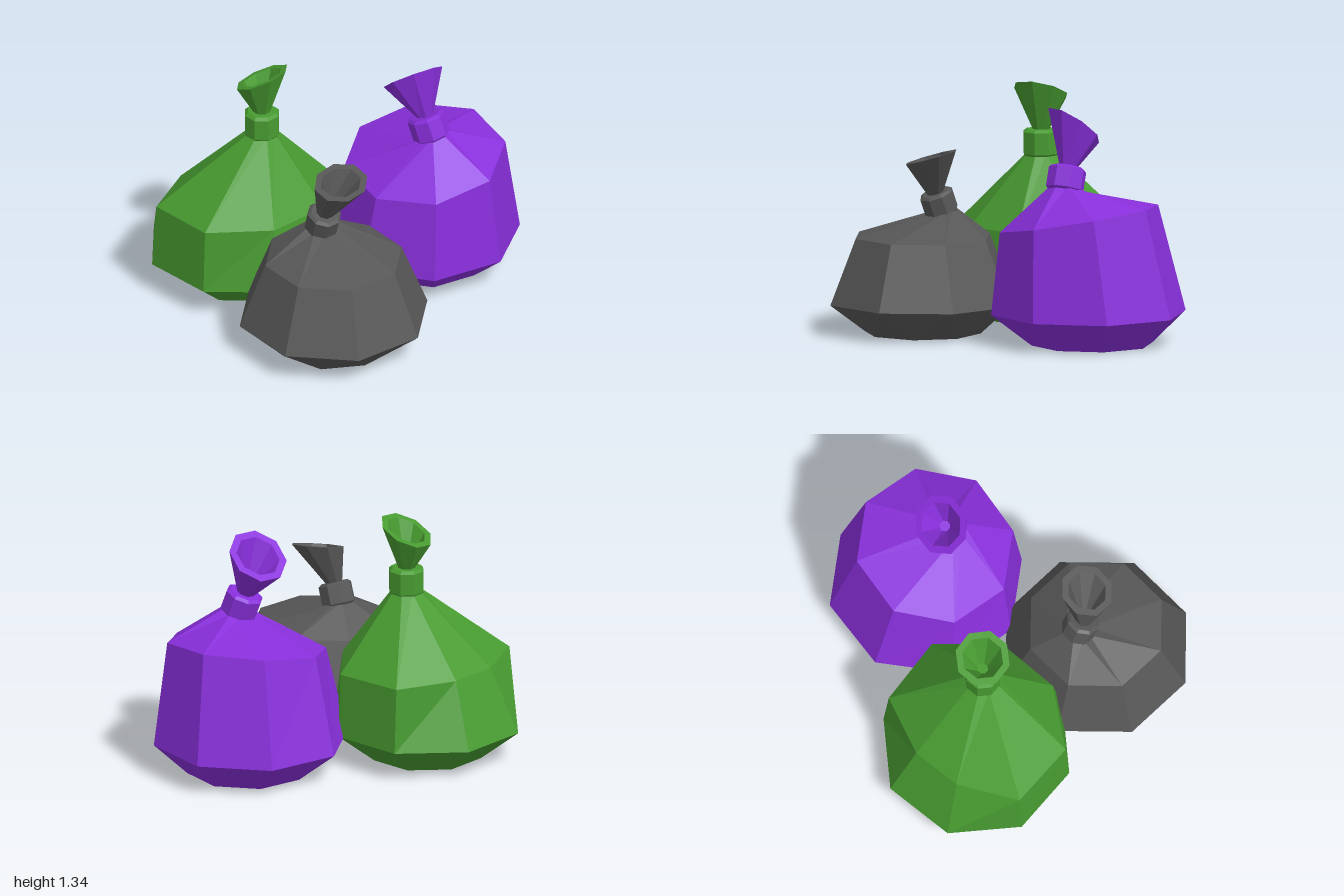
import * as THREE from 'three';

const SIDES = 8;

// Eight-sided loop: centre, facing direction, one radius or one per corner, first corner angle in degrees
function ring(center, normal, radius, phase) {
  const turn = new THREE.Quaternion().setFromUnitVectors(
    new THREE.Vector3(0, 1, 0), new THREE.Vector3(...normal).normalize());
  return Array.from({ length: SIDES }, (_, i) => {
    const a = THREE.MathUtils.degToRad(phase + i * 360 / SIDES);
    const r = Array.isArray(radius) ? radius[i] : radius;
    return new THREE.Vector3(r * Math.cos(a), 0, r * Math.sin(a))
      .applyQuaternion(turn).add(new THREE.Vector3(...center));
  });
}

// Faceted skin over a stack of loops, capped at both ends
function loft(rings) {
  const pos = [];
  const tri = (...pts) => pts.forEach((p) => pos.push(p.x, p.y, p.z));
  for (let k = 0; k < rings.length - 1; k++) {
    const a = rings[k], b = rings[k + 1];
    for (let i = 0; i < SIDES; i++) {
      const j = (i + 1) % SIDES;
      tri(a[j], a[i], b[i]);
      tri(a[j], b[i], b[j]);
    }
  }
  const first = rings[0], last = rings[rings.length - 1];
  for (let i = 1; i < SIDES - 1; i++) {
    tri(first[0], first[i], first[i + 1]);
    tri(last[0], last[i + 1], last[i]);
  }
  const geo = new THREE.BufferGeometry();
  geo.setAttribute('position', new THREE.Float32BufferAttribute(pos, 3));
  geo.computeVertexNormals();
  return geo;
}

const UP = [0, 1, 0];
const mix = (a, b, t) => a.map((v, i) => v + (b[i] - v) * t);

const bags = [
  {
    name: 'greyBag', colorName: 'grey', color: 0x575757, phase: 27.5,
    base: { at: [-0.485, 0, 0.43], r: 0.32, phase: 10 },
    belly: { at: [-0.485, 0.17, 0.43], r: 0.53 },
    shoulder: { at: [-0.485, 0.53, 0.43], r: 0.385, normal: UP },
    knot: { from: [-0.46, 0.645, 0.30], to: [-0.47, 0.765, 0.345], r: 0.095 },
    rim: { at: [-0.425, 0.97, 0.425], r: 0.15, normal: [-0.25, 1, 0.15] },
  },
  {
    name: 'greenBag', colorName: 'green', color: 0x489b31, phase: 21.5,
    base: { at: [-0.365, 0, -0.43], r: 0.315, phase: 21.5 },
    belly: { at: [-0.365, 0.17, -0.43], r: 0.53 },
    shoulder: {
      at: [-0.365, 0.53, -0.43], normal: UP,
      r: [0.52, 0.48, 0.47, 0.51, 0.505, 0.37, 0.37, 0.5],
    },
    knot: { from: [-0.32, 0.91, -0.325], to: [-0.32, 1.06, -0.325], r: 0.1 },
    rim: { at: [-0.32, 1.27, -0.325], r: 0.155, normal: [-0.15, 1, -0.46] },
  },
  {
    name: 'purpleBag', colorName: 'purple', color: 0x892fdb, phase: -10,
    base: { at: [0.49, 0, 0.11], r: 0.335, phase: -10 },
    belly: { at: [0.463, 0.17, 0.11], r: 0.54 },
    shoulder: { at: [0.44, 0.69, 0.16], r: 0.445, normal: [-0.172, 1, 0.06] },
    knot: { from: [0.415, 0.845, 0.25], to: [0.4, 0.975, 0.205], r: 0.105 },
    rim: { at: [0.375, 1.195, 0.135], r: 0.17, normal: [0.15, 1, -0.8] },
  },
];

function makeBag({ name, colorName, color, phase, base, belly, shoulder, knot, rim }) {
  const material = new THREE.MeshStandardMaterial({ color });
  material.name = colorName;
  const group = new THREE.Group();
  group.name = name;
  const add = (part, rings) => {
    const mesh = new THREE.Mesh(loft(rings), material);
    mesh.name = part;
    group.add(mesh);
  };
  const axis = knot.to.map((v, i) => v - knot.from[i]);
  const alongKnot = (t, r) => ring(mix(knot.from, knot.to, t), axis, r, phase);

  // Sagging sack gathered up to the neck
  add('sack', [
    ring(base.at, UP, base.r, base.phase),
    ring(belly.at, UP, belly.r, phase),
    ring(shoulder.at, shoulder.normal, shoulder.r, phase),
    alongKnot(0.15, knot.r * 0.75),
  ]);

  // Tied band with small bevels
  add('tie', [
    alongKnot(0, knot.r * 0.85), alongKnot(0.1, knot.r),
    alongKnot(0.9, knot.r), alongKnot(1, knot.r * 0.82),
  ]);

  // Flared mouth: outer wall, flat lip, then the hollow inside
  add('flare', [
    alongKnot(0.95, 0.045),
    ring(rim.at, rim.normal, rim.r, phase),
    ring(rim.at, rim.normal, rim.r * 0.75, phase),
    ring(mix(knot.to, rim.at, 0.2), axis, 0.03, phase),
  ]);
  return group;
}

export function createModel() {
  const model = new THREE.Group();
  model.name = 'tiedBags';
  bags.forEach((bag) => model.add(makeBag(bag)));
  return model;
}
